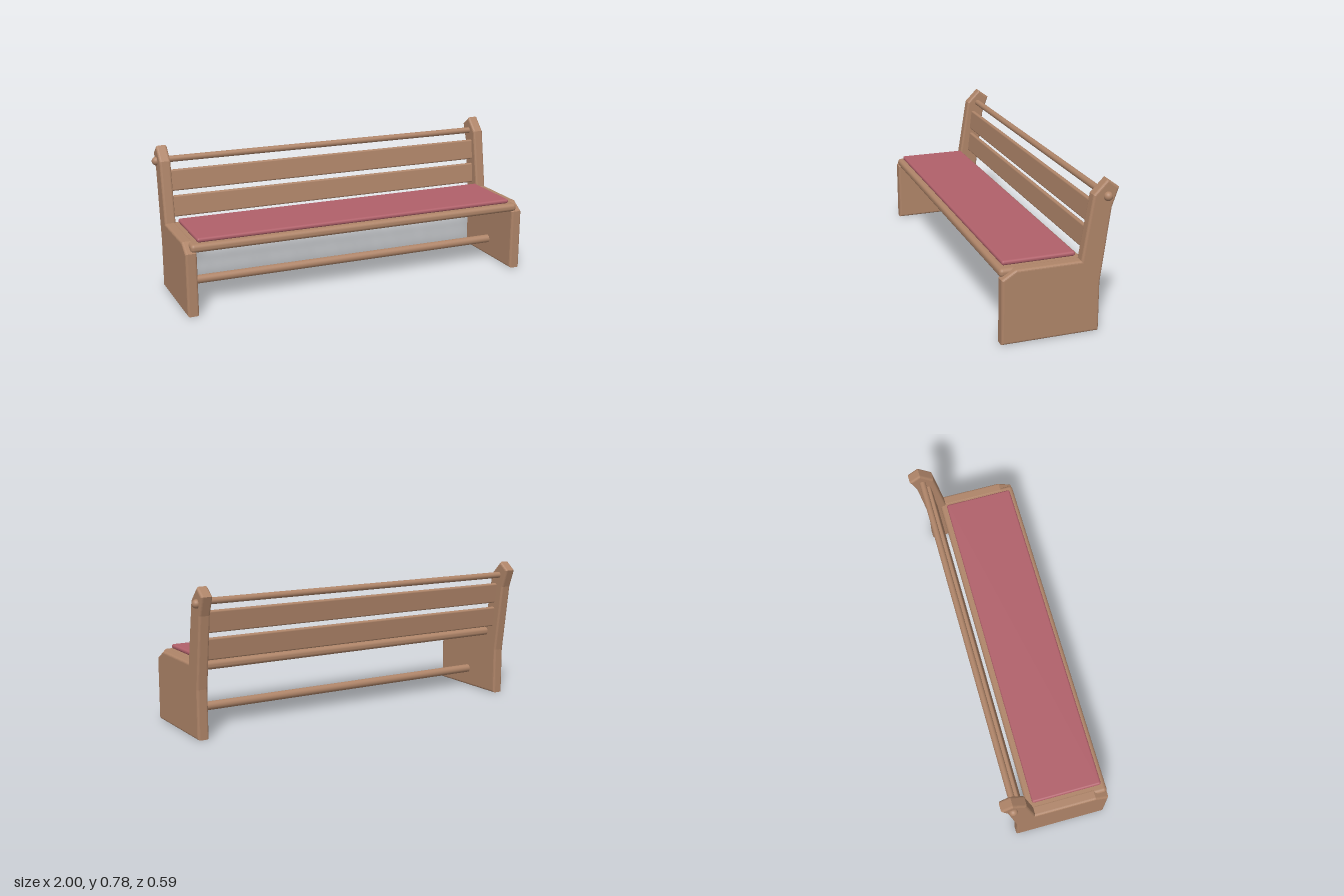
import * as THREE from 'three';
import { RoundedBoxGeometry } from 'three/addons/geometries/RoundedBoxGeometry.js';

export function createModel() {
  const bench = new THREE.Group();
  bench.name = 'bench';
  const wood = new THREE.MeshStandardMaterial({ color: 0xae8468 });
  wood.name = 'wood';
  const fabric = new THREE.MeshStandardMaterial({ color: 0xb0606a });
  fabric.name = 'cushionFabric';

  const add = (name, geometry, material, x, y, z) => {
    const mesh = new THREE.Mesh(geometry, material);
    mesh.name = name;
    mesh.position.set(x, y, z);
    bench.add(mesh);
    return mesh;
  };
  const board = (name, w, h, d, r, y, z, material = wood) =>
    add(name, new RoundedBoxGeometry(w, h, d, 4, r), material, 0, y, z);
  const rail = (name, radius, y, z) =>
    add(name, new THREE.CylinderGeometry(radius, radius, 1.86, 24).rotateZ(Math.PI / 2), wood, 0, y, z);

  // Side panel outline as (z, y), front foot first, with the leaning back post
  const outline = [
    [0.295, 0], [0.295, 0.335], [0.222, 0.38], [-0.11, 0.38], [-0.163, 0.705],
    [-0.235, 0.778], [-0.295, 0.733], [-0.26, 0.635], [-0.21, 0.258], [-0.21, 0],
  ];
  // Shape x is -z, so that turning the extrusion lays its depth along x
  const shape = new THREE.Shape(outline.map(([z, y]) => new THREE.Vector2(-z, y)).reverse());
  const bevel = 0.012, thickness = 0.06;
  const panel = new THREE.ExtrudeGeometry(shape, {
    depth: thickness - 2 * bevel,
    bevelThickness: bevel, bevelSize: bevel, bevelOffset: -bevel, bevelSegments: 4,
  });
  panel.translate(0, 0, bevel - thickness / 2).rotateY(Math.PI / 2);

  for (const [side, sign] of [['left', 1], ['right', -1]]) {
    add(side + 'SidePanel', panel, wood, sign * 0.945, 0, 0);
    // Round peg end on the outside of the post
    add(side + 'Peg', new THREE.SphereGeometry(0.023, 24, 16), wood, sign * 0.977, 0.695, -0.235);
  }

  // Seat and cushion
  board('seat', 1.89, 0.044, 0.435, 0.019, 0.357, 0.0775);
  board('cushion', 1.81, 0.024, 0.378, 0.011, 0.392, 0.081, fabric);

  // Leaning back slats
  for (const [name, y, z] of [['lowerBackSlat', 0.453, -0.178], ['upperBackSlat', 0.593, -0.191]]) {
    board(name, 1.86, 0.115, 0.024, 0.009, y, z).rotation.x = -0.12;
  }

  // Round rails: top of the back and foot stretcher
  rail('topRail', 0.017, 0.702, -0.226);
  rail('stretcher', 0.023, 0.102, 0.04);

  return bench;
}
